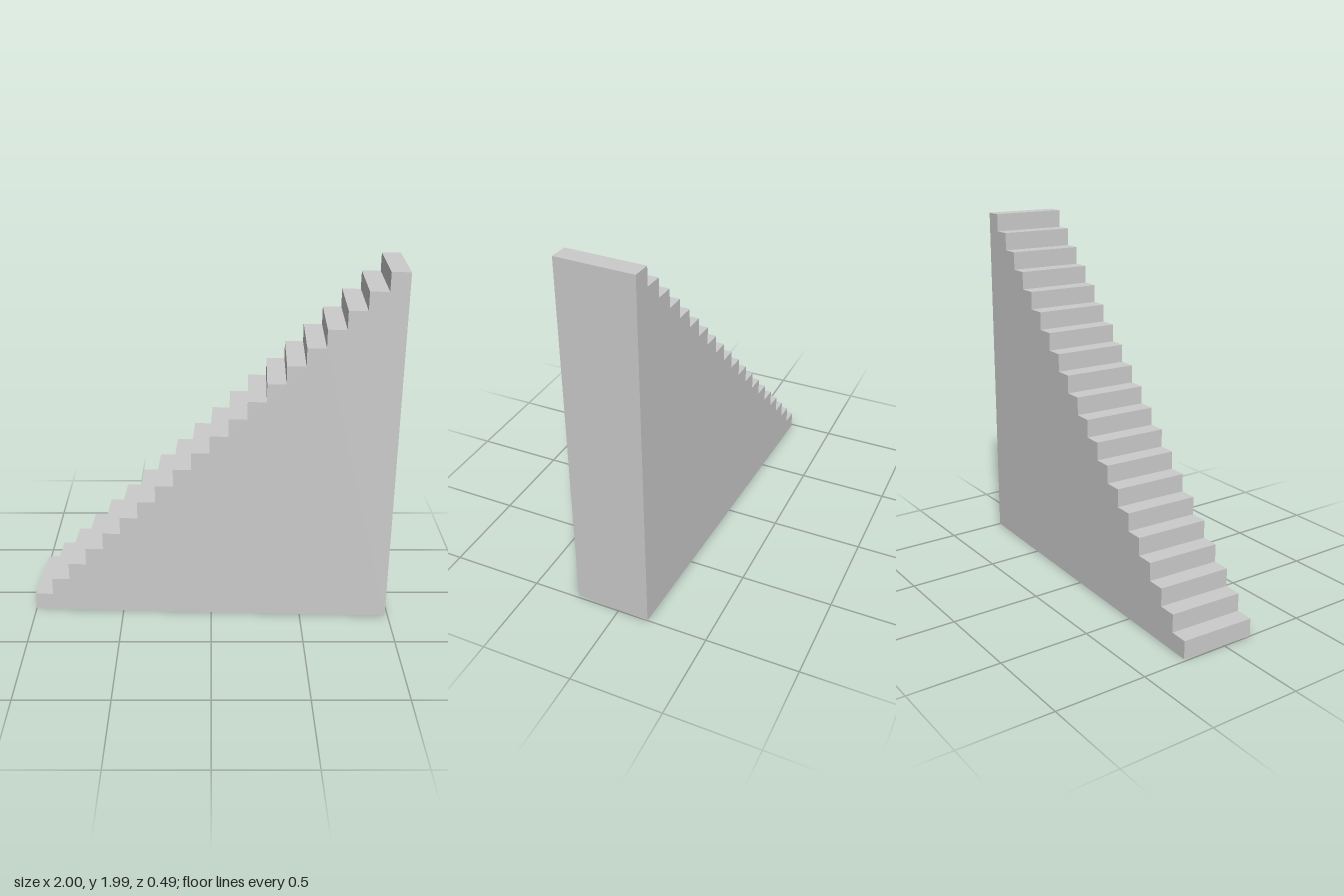
import * as THREE from 'three';

const STEPS = 20;
const RUN = 1.985;    // length and height of the whole flight
const DEPTH = 0.417;  // width of the treads
const TURN = -0.0385; // slight turn about the vertical axis

export function createModel() {
  const group = new THREE.Group();
  group.name = 'staircase';

  // Stepped side profile, rising towards +x
  const size = RUN / STEPS;
  const profile = new THREE.Shape();
  profile.moveTo(RUN / 2, 0);
  for (let i = STEPS; i > 0; i--) {
    profile.lineTo(i * size - RUN / 2, i * size);
    profile.lineTo((i - 1) * size - RUN / 2, i * size);
  }
  profile.lineTo(-RUN / 2, 0);
  profile.closePath();

  // Solid block of stairs, centred across its width
  const geometry = new THREE.ExtrudeGeometry(profile, { depth: DEPTH, bevelEnabled: false });
  geometry.translate(0, 0, -DEPTH / 2);
  const stairs = new THREE.Mesh(
    geometry,
    new THREE.MeshStandardMaterial({ color: 0xcccccc, flatShading: true })
  );
  stairs.name = 'solidStairs';
  stairs.rotation.y = TURN;
  group.add(stairs);

  return group;
}
